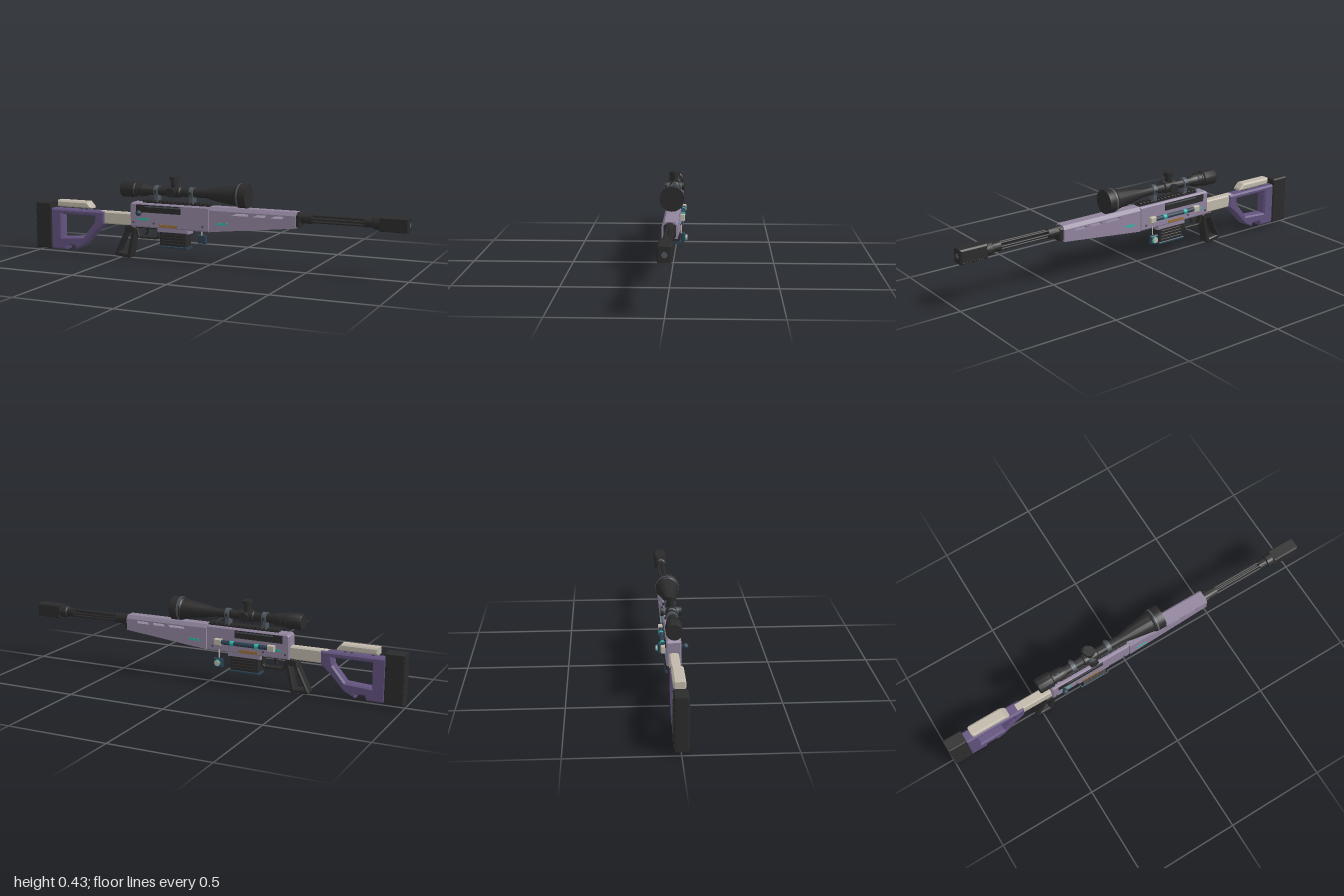
import * as THREE from 'three';
import { toCreasedNormals } from 'three/addons/utils/BufferGeometryUtils.js';

const material = (name, color) => {
  const m = new THREE.MeshStandardMaterial({ color });
  m.name = name;
  return m;
};

export function createModel() {
  const lilac = material('lilac', 0x91849d);
  const purple = material('purple', 0x62527e);
  const black = material('black', 0x2b2b2b);
  const cream = material('cream', 0xbfb8aa);
  const steel = material('steel', 0x4e565e);
  const navy = material('navy', 0x2d4152);
  const teal = material('teal', 0x2bb8ab);
  const brass = material('brass', 0x9c6f35);
  const model = new THREE.Group();

  const add = (name, geometry, mat, parent = model) => {
    const mesh = new THREE.Mesh(geometry, mat);
    mesh.name = name;
    parent.add(mesh);
    return mesh;
  };
  const vec = (pts) => pts.map(([x, y]) => new THREE.Vector2(x, y));

  // Side profile extruded across z, with chamfered edges
  const plate = (name, pts, mat, depth, bevel = 0, holes = [], z = 0) => {
    const shape = new THREE.Shape(vec(pts));
    holes.forEach((h) => shape.holes.push(new THREE.Path(vec(h))));
    const g = new THREE.ExtrudeGeometry(shape, {
      depth: depth - 2 * bevel, bevelEnabled: bevel > 0, bevelThickness: bevel,
      bevelSize: bevel, bevelOffset: -bevel, bevelSegments: 1,
    });
    g.translate(0, 0, z - depth / 2 + bevel);
    return add(name, g, mat);
  };
  const rect = (x0, x1, y0, y1) => [[x0, y0], [x1, y0], [x1, y1], [x0, y1]];
  const block = (name, x0, x1, y0, y1, depth, mat, bevel = 0, z = 0) =>
    plate(name, rect(x0, x1, y0, y1), mat, depth, bevel, [], z);

  // Turned part along x; profile entries are [x, radius]
  const turned = (name, profile, y, z, mat, sides = 28) => {
    const g = new THREE.LatheGeometry(vec(profile.map(([x, r]) => [r, x])), sides);
    g.rotateZ(-Math.PI / 2);
    g.translate(0, y, z);
    return add(name, toCreasedNormals(g, 0.6), mat);
  };
  const cylinder = (name, r, length, pos, axis, mat, sides = 20) => {
    const g = new THREE.CylinderGeometry(r, r, length, sides);
    if (axis === 'x') g.rotateZ(-Math.PI / 2);
    if (axis === 'z') g.rotateX(Math.PI / 2);
    return add(name, g.translate(...pos), mat);
  };

  // Butt pad, skeleton stock, cheek rest and connecting beam
  block('buttPad', -1, -0.905, 0.02, 0.265, 0.066, black, 0.006);
  for (let i = 0; i < 7; i++)
    block('buttPadRib', -1, -0.908, 0.045 + i * 0.03, 0.051 + i * 0.03, 0.068, black);
  plate('stock', [
    [-0.91, 0.02], [-0.82, 0.02], [-0.812, 0.043], [-0.768, 0.043], [-0.765, 0.024], [-0.71, 0.05],
    [-0.64, 0.125], [-0.59, 0.17], [-0.59, 0.235], [-0.91, 0.235],
  ], purple, 0.06, 0.008,
  [[[-0.845, 0.085], [-0.845, 0.208], [-0.645, 0.208], [-0.652, 0.17], [-0.715, 0.094]]]);
  plate('cheekRest', [[-0.87, 0.246], [-0.665, 0.246], [-0.668, 0.256], [-0.69, 0.28], [-0.87, 0.28]],
    cream, 0.056, 0.008);
  for (const x of [-0.84, -0.735, -0.705])
    cylinder('cheekRestPost', 0.008, 0.03, [x, 0.238, 0], 'y', steel, 12);
  block('stockBeam', -0.62, -0.42, 0.172, 0.236, 0.046, cream, 0.006);

  // Receiver
  plate('receiver', [
    [-0.435, 0.17], [0.005, 0.17], [0.005, 0.295], [-0.425, 0.295], [-0.435, 0.285],
  ], lilac, 0.07, 0.007);
  block('magazineWell', -0.285, -0.11, 0.15, 0.18, 0.062, lilac, 0.004);
  for (const s of [1, -1]) {
    block('ejectionPort', -0.4, -0.15, 0.248, 0.286, 0.004, black, 0, s * 0.0355);
    block('boltStrip', -0.35, -0.15, 0.276, 0.282, 0.004, steel, 0, s * 0.0375);
    block('rearAccent', -0.39, -0.33, 0.207, 0.217, 0.004, teal, 0, s * 0.0355);
    block('cartridgePlate', -0.27, -0.17, 0.178, 0.191, 0.004, brass, 0, s * 0.0355);
    plate('handguardAccent', [[0.04, 0.211], [0.095, 0.211], [0.103, 0.221], [0.048, 0.221]],
      teal, 0.004, 0, [], s * 0.0365);
    for (const x of [-0.415, -0.3, -0.03])
      cylinder('receiverPin', 0.006, 0.004, [x, 0.195, s * 0.036], 'z', steel, 10);
  }

  // Handguard with open slots and a chamfered top
  const slot = (x0, x1) => [[x0, 0.262], [x1 - 0.007, 0.262], [x1, 0.274], [x0 + 0.007, 0.274]];
  plate('handguard', [[0.005, 0.172], [0.455, 0.221], [0.455, 0.28], [0.005, 0.28]], lilac, 0.072, 0,
    [slot(0.125, 0.215), slot(0.235, 0.305), slot(0.325, 0.395)]);
  const capShape = new THREE.Shape(vec([[-0.036, 0.28], [0.036, 0.28], [0.024, 0.298], [-0.024, 0.298]]));
  const cap = new THREE.ExtrudeGeometry(capShape, { depth: 0.45, bevelEnabled: false });
  cap.rotateY(Math.PI / 2);
  add('handguardTop', cap.translate(0.005, 0, 0), lilac);
  block('handguardNose', 0.45, 0.475, 0.225, 0.288, 0.056, black, 0.006);

  // Fluted barrel built from a ring of rods between solid collars
  const by = 0.269;
  turned('barrelRear', [[0.45, 0], [0.45, 0.027], [0.53, 0.025], [0.535, 0]], by, 0, black);
  for (let i = 0; i < 6; i++) {
    const a = (i * Math.PI) / 3;
    cylinder('barrelRod', 0.0055, 0.28, [0.66, by + 0.017 * Math.sin(a), 0.017 * Math.cos(a)], 'x', black, 10);
  }
  turned('barrelFront', [[0.785, 0], [0.785, 0.023], [0.825, 0.023], [0.83, 0.03], [0.865, 0.033], [0.88, 0]],
    by, 0, black);

  // Muzzle brake with two open ports
  plate('muzzleBrake', rect(0.86, 1, 0.234, 0.304), black, 0.064, 0.007,
    [[0.888, 0.928], [0.95, 0.984]].map(([a, b]) => rect(a, b, 0.247, 0.291).reverse()));
  block('brakeDivider', 0.87, 0.99, 0.266, 0.271, 0.05, black);
  cylinder('muzzleBore', 0.013, 0.002, [0.9995, by, 0], 'x', steel, 20);

  // Serrated top rail
  block('railBase', -0.37, 0, 0.292, 0.302, 0.036, black);
  for (let i = 0; i < 17; i++)
    block('railTooth', -0.37 + i * 0.022, -0.357 + i * 0.022, 0.301, 0.311, 0.042, black, 0.002);

  // Scope, from eyepiece to objective
  const sy = 0.357;
  turned('scopeBody', [
    [-0.49, 0], [-0.49, 0.037], [-0.485, 0.039], [-0.415, 0.039], [-0.41, 0.031], [-0.355, 0.031],
    [-0.335, 0.022], [-0.24, 0.022], [-0.235, 0.028], [-0.165, 0.028], [-0.16, 0.022], [-0.03, 0.022],
    [0.04, 0.036], [0.14, 0.051], [0.145, 0.056], [0.16, 0.059], [0.2, 0.059], [0.2, 0],
  ], sy, 0, black, 32);
  turned('objectiveBand', [[0.15, 0.05], [0.153, 0.0595], [0.161, 0.0595], [0.164, 0.05]], sy, 0, steel, 32);
  for (const x of [-0.405, -0.38])
    cylinder('eyepieceRing', 0.034, 0.01, [x, sy, 0], 'x', black, 24);
  for (const x of [-0.295, -0.1]) {
    cylinder('scopeRing', 0.028, 0.022, [x, sy, 0], 'x', steel, 24);
    block('scopeMount', x - 0.012, x + 0.012, 0.3, 0.345, 0.04, steel, 0.003);
    for (const s of [1, -1]) cylinder('ringScrew', 0.006, 0.012, [x, sy, s * 0.03], 'y', black, 8);
  }
  // Adjustment turrets
  cylinder('topTurretBase', 0.018, 0.05, [-0.2, 0.395, 0], 'y', black);
  cylinder('topTurretCap', 0.026, 0.018, [-0.2, 0.424, 0], 'y', black, 24);
  for (const s of [1, -1]) {
    cylinder('sideTurretBase', 0.018, 0.03, [-0.2, sy, s * 0.028], 'z', steel);
    cylinder('sideTurretCap', 0.023, 0.012, [-0.2, sy, s * 0.043], 'z', black, 24);
  }

  // Bolt handle
  cylinder('boltArm', 0.006, 0.03, [-0.375, 0.248, 0.042], 'z', black, 10);
  add('boltKnob', new THREE.IcosahedronGeometry(0.015, 1).translate(-0.375, 0.246, 0.057), navy);

  // Tube on the rear side with pale ends
  cylinder('sideTube', 0.011, 0.28, [-0.205, 0.221, -0.044], 'x', navy, 14);
  for (const x of [-0.345, -0.065])
    block('sideTubeEnd', x - 0.018, x + 0.018, 0.206, 0.236, 0.024, cream, 0.003, -0.044);
  for (const x of [-0.27, -0.14]) cylinder('sideTubeBand', 0.0125, 0.02, [x, 0.221, -0.044], 'x', teal, 14);

  // Skeleton grip, trigger and guard
  plate('grip', [[-0.535, 0.018], [-0.525, 0.011], [-0.45, 0.003], [-0.438, 0.01], [-0.408, 0.165],
    [-0.425, 0.178], [-0.47, 0.172], [-0.478, 0.135]], black, 0.054, 0.006,
  [[[-0.508, 0.034], [-0.46, 0.028], [-0.434, 0.14], [-0.459, 0.14]]]);
  plate('triggerGuard', [[-0.43, 0.172], [-0.405, 0.118], [-0.395, 0.109], [-0.3, 0.109], [-0.28, 0.12],
    [-0.28, 0.172]], black, 0.03, 0.003,
  [[[-0.407, 0.162], [-0.392, 0.121], [-0.302, 0.121], [-0.292, 0.128], [-0.292, 0.162]]]);
  plate('trigger', [[-0.362, 0.17], [-0.356, 0.145], [-0.368, 0.127], [-0.36, 0.125], [-0.346, 0.145],
    [-0.345, 0.17]], black, 0.012);

  // Magazine with ribs
  block('magazine', -0.272, -0.122, 0.08, 0.165, 0.058, black, 0.004);
  block('magazineFloor', -0.277, -0.117, 0.072, 0.084, 0.066, navy, 0.003);
  for (let i = 0; i < 4; i++)
    block('magazineRib', -0.262, -0.132, 0.093 + i * 0.015, 0.099 + i * 0.015, 0.064, black, 0.002);

  // Hanging charm on the rear side
  cylinder('charmCord', 0.003, 0.045, [-0.068, 0.16, -0.038], 'y', cream, 8);
  block('charmBody', -0.091, -0.045, 0.096, 0.14, 0.022, navy, 0.005, -0.047);
  cylinder('charmRing', 0.017, 0.004, [-0.068, 0.118, -0.06], 'z', teal);
  cylinder('charmFace', 0.013, 0.008, [-0.068, 0.118, -0.065], 'z', cream);

  return model;
}
